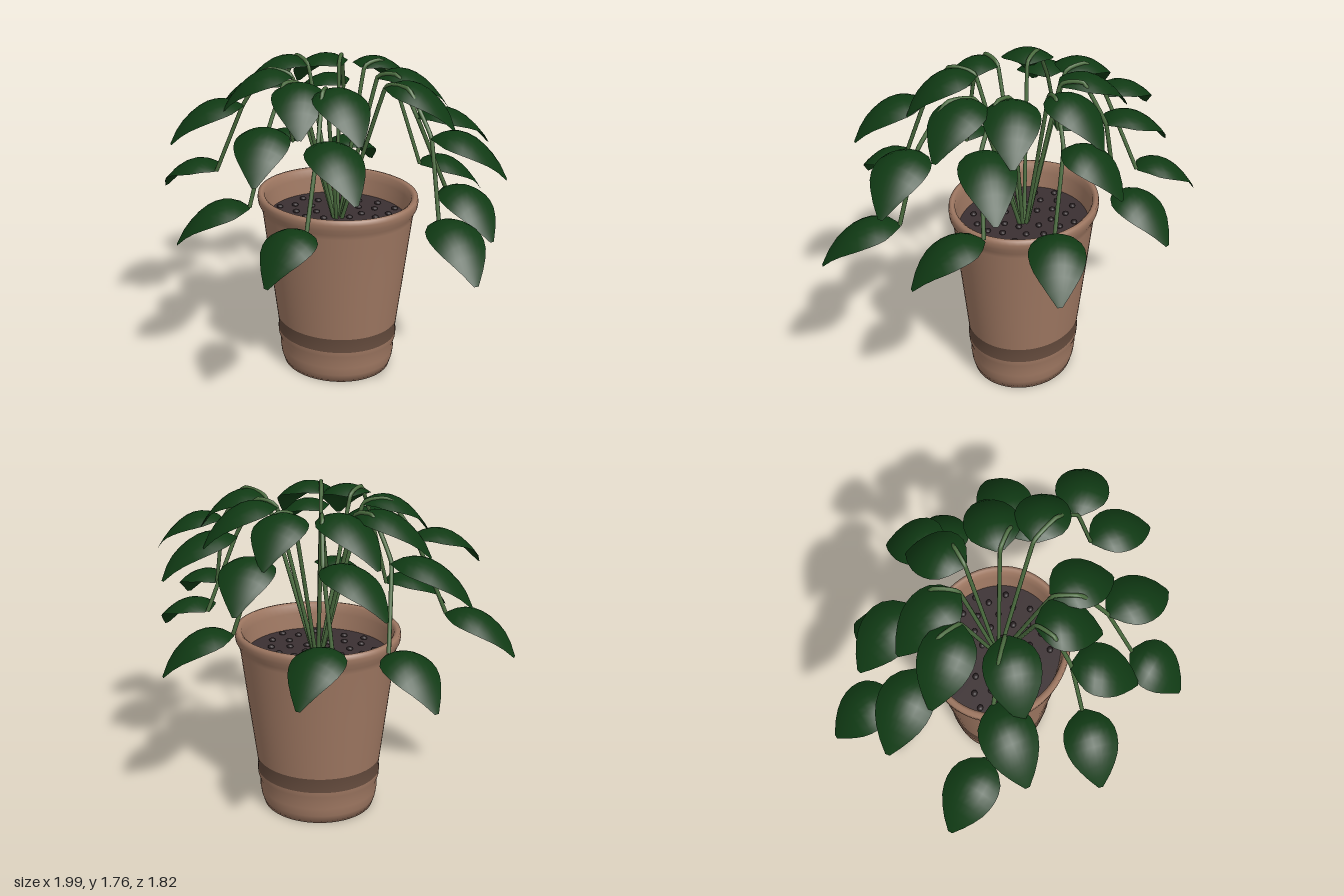
import * as THREE from 'three';

const paint = (name, color, side = THREE.FrontSide) => {
  const m = new THREE.MeshStandardMaterial({ color, side });
  m.name = name;
  return m;
};

// Each frond carries three leaves (upper, middle, lower): base x, base z, tip x, tip z
const FRONDS = [
  [[-0.18, -0.02, -0.52, 0.13], [-0.46, -0.02, -0.79, 0.21], [-0.63, -0.02, -1.0, -0.15]],
  [[-0.10, 0.11, 0.0, 0.43], [-0.20, 0.31, -0.16, 0.65], [-0.28, 0.40, -0.62, 0.57]],
  [[0.06, 0.16, 0.31, 0.43], [0.10, 0.44, 0.37, 0.72], [0.09, 0.60, -0.02, 0.90]],
  [[0.33, 0.02, 0.70, 0.06], [0.61, 0.20, 0.99, 0.19], [0.68, 0.28, 0.93, 0.59]],
  [[0.25, -0.13, 0.60, -0.30], [0.48, -0.08, 0.82, -0.32], [0.63, -0.16, 0.93, 0.08]],
  [[0.14, -0.28, 0.24, -0.61], [0.30, -0.43, 0.35, -0.76], [0.43, -0.45, 0.76, -0.62]],
  [[0.0, -0.28, -0.31, -0.53], [-0.04, -0.52, -0.37, -0.73], [-0.09, -0.57, 0.03, -0.91]],
  [[-0.16, -0.24, -0.55, -0.31], [-0.36, -0.40, -0.76, -0.49], [-0.37, -0.59, -0.62, -0.85]],
];
const LEAF_Y = [1.72, 1.54, 1.14];
const APEX_Y = 1.75;
const SOIL_Y = 0.91;
const CX = 0.045, CZ = -0.11;   // pot centre
const OVAL = 0.88;              // pot depth relative to width

// Unit-long leaf along +z: rounded base, pointed tip, arched and cupped downwards
function leafGeometry() {
  const halfWidth = [0.02, 0.085, 0.122, 0.137, 0.14, 0.134, 0.119, 0.093, 0.058, 0.012];
  const rows = halfWidth.length - 1;
  const g = new THREE.PlaneGeometry(2, 1, 8, rows).rotateX(-Math.PI / 2);
  const p = g.attributes.position;
  for (let i = 0; i < p.count; i++) {
    const v = p.getX(i), u = p.getZ(i) + 0.5;
    const w = halfWidth[Math.round(u * rows)];
    const across = v * w;
    p.setXYZ(i, across, 0.28 * u - 0.46 * u * u - 3 * across * across, u);
  }
  g.computeVertexNormals();
  return g;
}

export function createModel() {
  const clay = paint('clay', 0x9f7862, THREE.DoubleSide);
  const darkClay = paint('dark clay', 0x634a3c, THREE.DoubleSide);
  const soilMat = paint('soil', 0x3b3032);
  const pebbleMat = paint('pebble', 0x282022);
  const leafMat = paint('leaf green', 0x103a14, THREE.DoubleSide);
  const stemMat = paint('stem green', 0x4a6b3e);

  const model = new THREE.Group();
  model.name = 'pottedPlant';
  const add = (parent, name, geometry, material) => {
    const mesh = new THREE.Mesh(geometry, material);
    mesh.name = name;
    parent.add(mesh);
    return mesh;
  };

  // Pot: foot, recessed-looking band, tapered wall with rolled rim
  const pot = new THREE.Group();
  pot.name = 'pot';
  pot.position.set(CX, 0, CZ);
  pot.scale.z = OVAL;
  model.add(pot);
  const turned = (name, profile, material) => add(pot, name,
    new THREE.LatheGeometry(profile.map(([r, y]) => new THREE.Vector2(r, y)), 64), material);
  turned('potFoot', [[0, 0], [0.31, 0], [0.325, 0.05], [0.332, 0.1], [0.33, 0.14],
    [0.342, 0.18], [0.344, 0.21]], clay);
  turned('potBand', [[0.344, 0.21], [0.341, 0.25], [0.346, 0.295]], darkClay);
  turned('potWall', [[0.346, 0.295], [0.385, 0.63], [0.42, 0.94], [0.428, 0.97], [0.443, 1.0],
    [0.447, 1.03], [0.443, 1.053], [0.425, 1.057], [0.408, 1.045], [0.4, 1.0], [0.386, 0.89]], clay);

  // Soil with scattered pebbles
  add(pot, 'soil', new THREE.CircleGeometry(0.392, 48).rotateX(-Math.PI / 2), soilMat)
    .position.y = SOIL_Y;
  const pebble = new THREE.SphereGeometry(0.019, 10, 6);
  for (let i = 0; i < 40; i++) {
    const r = 0.36 * Math.sqrt((i + 1.5) / 42), a = i * 2.4;
    const m = add(pot, 'pebble', pebble, pebbleMat);
    m.position.set(r * Math.cos(a), SOIL_Y + 0.004, r * Math.sin(a));
    m.scale.y = 0.7;
  }

  // Fronds: a stem rising from the soil, bending over, with three drooping leaves
  const leaf = leafGeometry();
  FRONDS.forEach((leaves, f) => {
    const frond = new THREE.Group();
    frond.name = `frond${f + 1}`;
    model.add(frond);

    const [b1, b2, b3] = leaves.map(([x, z], i) => new THREE.Vector3(x, LEAF_Y[i], z));
    const root = new THREE.Vector3(CX, SOIL_Y - 0.02, CZ);
    root.x += (b1.x - CX) * 0.08;
    root.z += (b1.z - CZ) * 0.08;
    const apex = b1.clone().lerp(b2, 0.5).setY(APEX_Y);
    const path = new THREE.CatmullRomCurve3([root, b1, apex, b2, b3], false, 'catmullrom', 0.12);
    add(frond, 'stem', new THREE.TubeGeometry(path, 60, 0.011, 8), stemMat);

    leaves.forEach(([x, z, tx, tz], i) => {
      const m = add(frond, 'leaf', leaf, leafMat);
      m.position.set(x, LEAF_Y[i], z);
      m.rotation.y = Math.atan2(tx - x, tz - z);
      m.scale.z = Math.hypot(tx - x, tz - z);
    });
  });

  return model;
}
